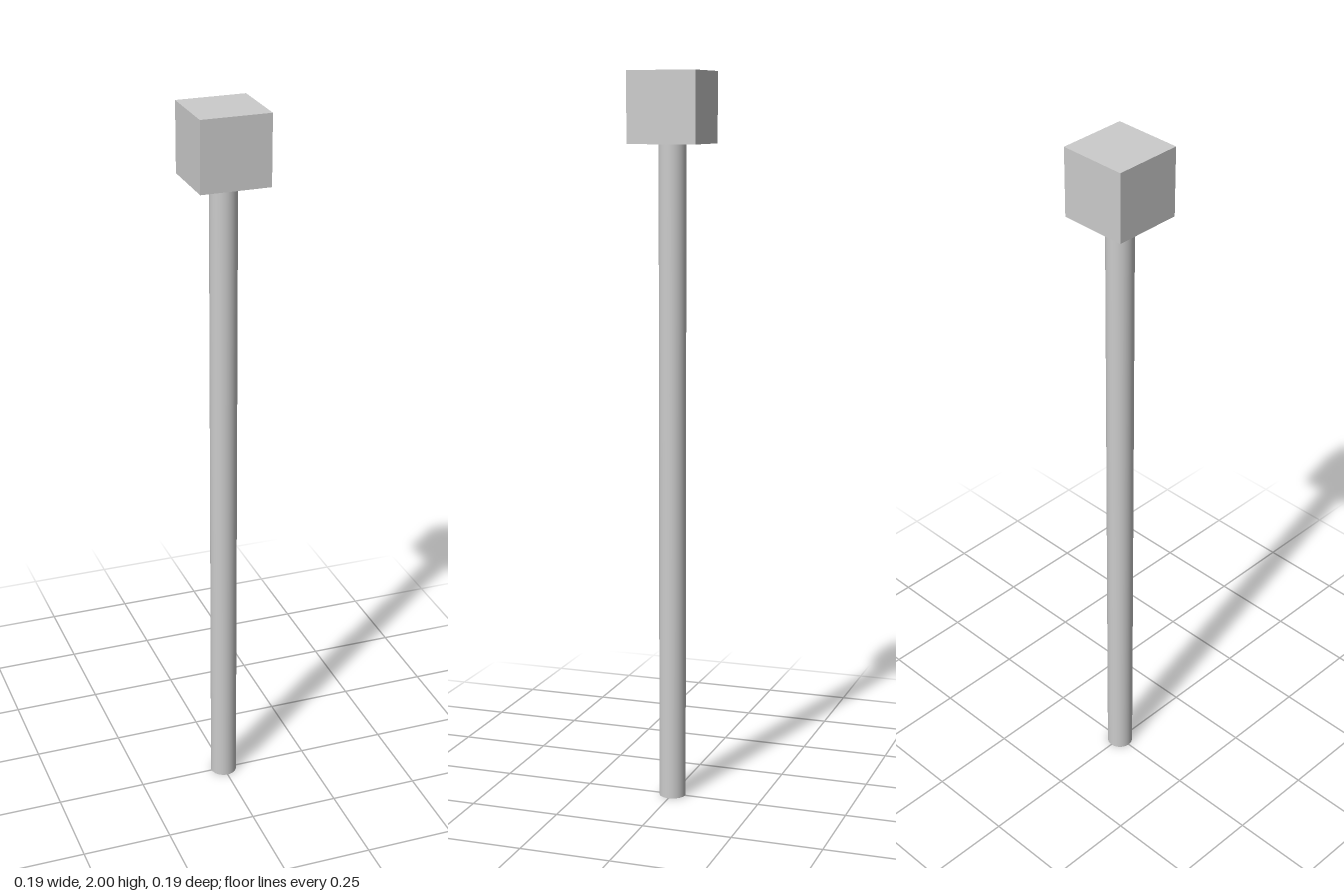
import * as THREE from 'three';

export function createModel() {
  const model = new THREE.Group();
  model.name = 'post';
  const material = new THREE.MeshStandardMaterial({ color: 0xcccccc });

  const headSize = 0.19;
  const poleHeight = 2 - headSize;

  // Round pole standing on the ground
  const pole = new THREE.Mesh(new THREE.CylinderGeometry(0.037, 0.037, poleHeight, 32), material);
  pole.name = 'pole';
  pole.position.y = poleHeight / 2;

  // Cube head resting on the pole
  const head = new THREE.Mesh(new THREE.BoxGeometry(headSize, headSize, headSize), material);
  head.name = 'head';
  head.position.y = poleHeight + headSize / 2;

  model.add(pole, head);
  return model;
}
